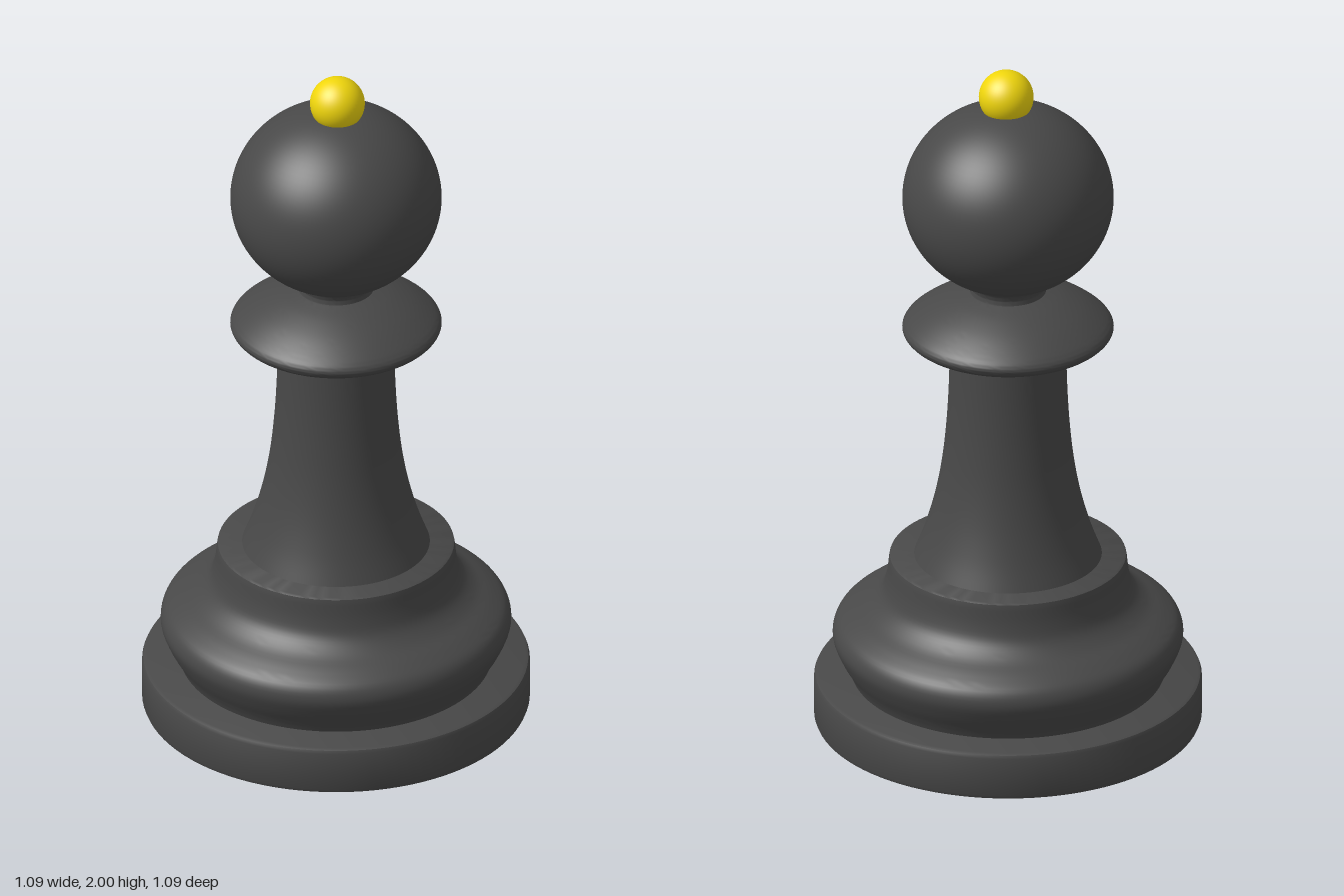
import * as THREE from 'three';
import { toCreasedNormals } from 'three/addons/utils/BufferGeometryUtils.js';

const SEGMENTS = 96;

export function createModel() {
  const model = new THREE.Group();
  model.name = 'chessPawn';
  const dark = new THREE.MeshStandardMaterial({ color: 0x484848 });
  const yellow = new THREE.MeshStandardMaterial({ color: 0xf0d60c });

  const add = (name, geometry, material, x = 0, y = 0, z = 0) => {
    const mesh = new THREE.Mesh(geometry, material);
    mesh.name = name;
    mesh.position.set(x, y, z);
    model.add(mesh);
  };
  const points = (pairs) => pairs.map(([r, y]) => new THREE.Vector2(r, y));
  const smooth = (pairs, n = 32) => new THREE.SplineCurve(points(pairs)).getPoints(n);
  // Turned part: profile runs from bottom to top
  const turn = (name, profile) =>
    add(name, toCreasedNormals(new THREE.LatheGeometry(profile, SEGMENTS), 0.7), dark, -0.002);

  // Flat foot with softened rims
  turn('base', points([[0, 0], [0.53, 0], [0.539, 0.004], [0.543, 0.014],
    [0.543, 0.128], [0.539, 0.137], [0.53, 0.141], [0, 0.141]]));

  // Bulging lower body rising to a flat step
  turn('plinth', [
    ...smooth([[0.435, 0.135], [0.448, 0.165], [0.473, 0.21], [0.491, 0.26], [0.479, 0.302],
      [0.44, 0.332], [0.39, 0.36], [0.355, 0.395], [0.34, 0.44], [0.333, 0.495]], 40),
    ...points([[0.331, 0.504], [0.324, 0.508], [0, 0.508]]),
  ]);

  // Concave tapering column
  turn('stem', smooth([[0.266, 0.5], [0.235, 0.582], [0.207, 0.68], [0.186, 0.79],
    [0.173, 0.91], [0.166, 1.03], [0.163, 1.15], [0.163, 1.2]]));

  // Domed collar with a rounded rim
  turn('collar', [
    ...points([[0, 1.18], [0.16, 1.18]]),
    ...smooth([[0.24, 1.181], [0.274, 1.187], [0.295, 1.207], [0.29, 1.228],
      [0.26, 1.254], [0.215, 1.283], [0.16, 1.309], [0.105, 1.327]], 36),
    ...points([[0, 1.335]]),
  ]);

  // Waisted neck
  turn('neck', smooth([[0.112, 1.31], [0.106, 1.33], [0.106, 1.345], [0.118, 1.365], [0.135, 1.38]], 16));

  // Slightly flattened ball
  const head = new THREE.SphereGeometry(0.296, SEGMENTS, 48);
  head.scale(1, 0.93, 1);
  add('head', head, dark, -0.002, 1.615);

  // Small ball on the crown
  add('finial', new THREE.SphereGeometry(0.077, 48, 32), yellow, 0.005, 1.923, 0.007);

  return model;
}
